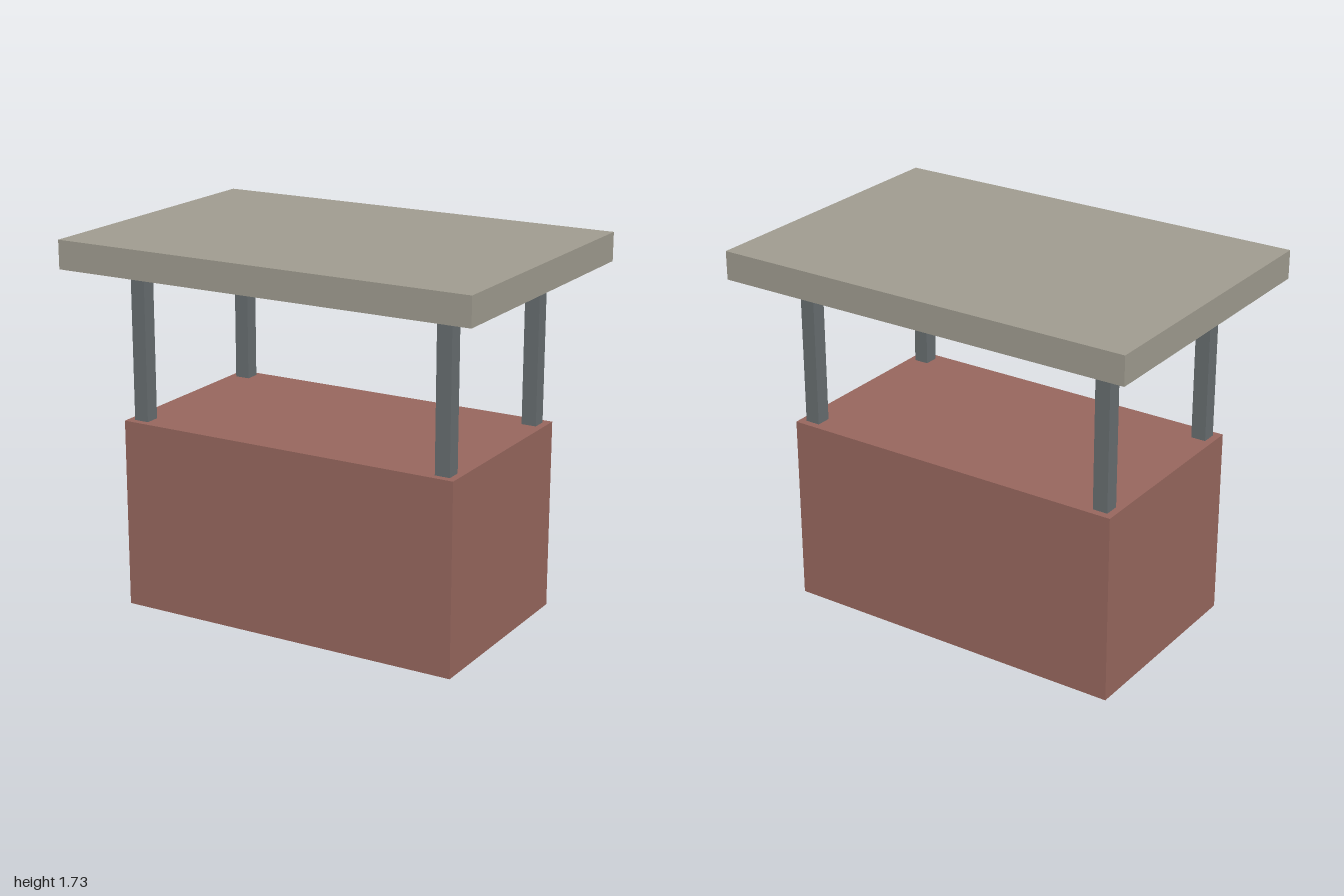
import * as THREE from 'three';

export function createModel() {
  const model = new THREE.Group();
  const brick = new THREE.MeshStandardMaterial({ color: 0x96665d });
  const steel = new THREE.MeshStandardMaterial({ color: 0x666d6f });
  const stone = new THREE.MeshStandardMaterial({ color: 0x9f9b8f });

  // Box given by its size and the height of its underside
  function addBox(name, material, [w, h, d], x, bottom, z) {
    const mesh = new THREE.Mesh(new THREE.BoxGeometry(w, h, d), material);
    mesh.name = name;
    mesh.position.set(x, bottom + h / 2, z);
    model.add(mesh);
  }

  const baseTop = 0.88;
  const roofBottom = 1.594;

  // Solid chimney stack
  addBox('base', brick, [1.655, baseTop, 0.96], 0, 0, 0);

  // Four corner posts
  for (const [side, x] of [['Left', 0.76], ['Right', -0.76]]) {
    for (const [end, z] of [['front', 0.412], ['back', -0.412]]) {
      addBox(`${end}${side}Post`, steel, [0.07, roofBottom - baseTop, 0.07], x, baseTop, z);
    }
  }

  // Overhanging cap slab
  addBox('roof', stone, [2, 0.131, 1.37], 0, roofBottom, 0);

  return model;
}
